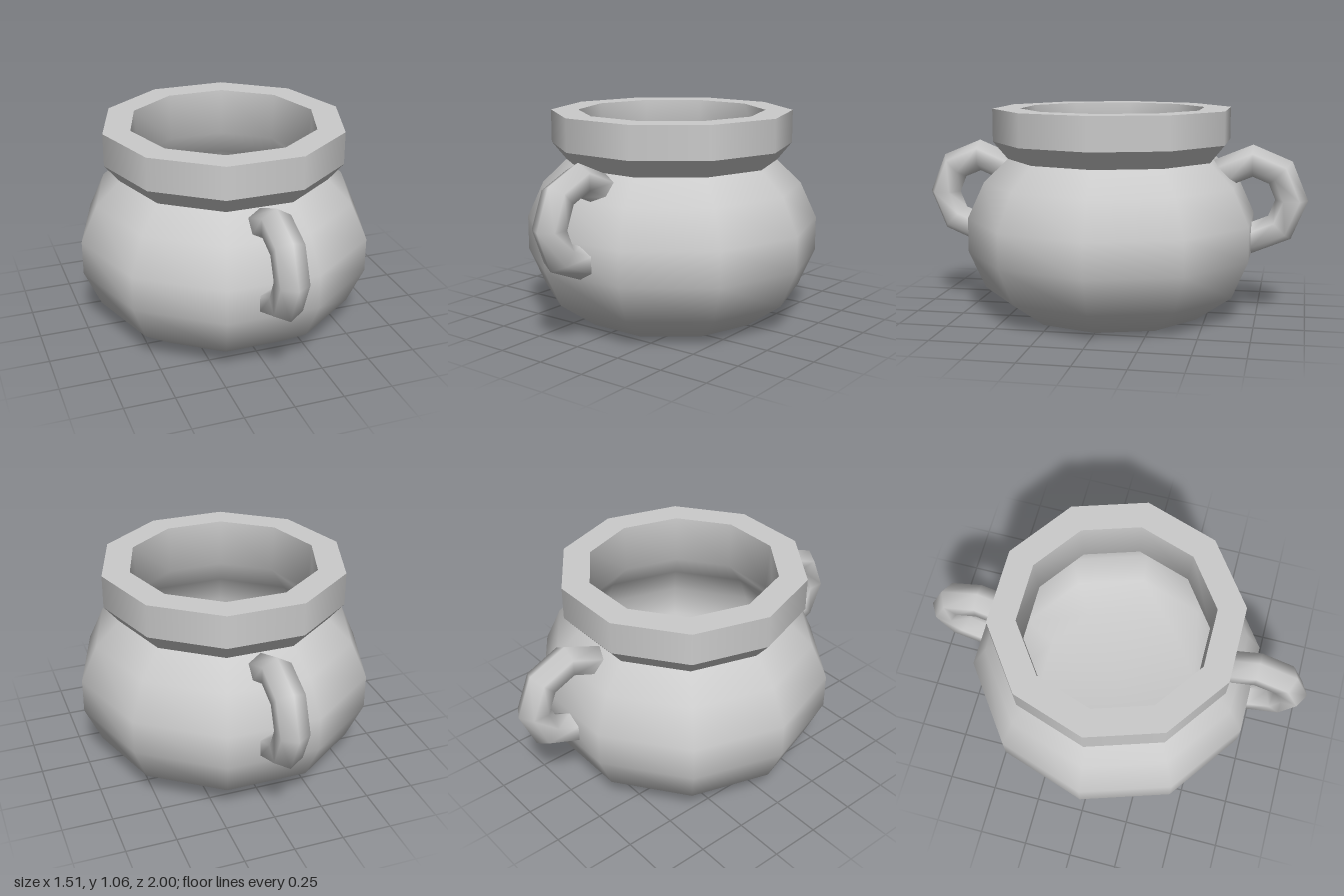
import * as THREE from 'three';

const SIDES = 10;

export function createModel() {
  const pot = new THREE.Group();
  pot.name = 'pot';
  const material = new THREE.MeshStandardMaterial({ color: 0xcccccc });
  const openMaterial = new THREE.MeshStandardMaterial({ color: 0xcccccc, side: THREE.DoubleSide });

  // Ten-sided turned part with a corner on the x axis, smooth along its profile
  function turned(name, profile) {
    const points = profile.map(([r, y]) => new THREE.Vector2(r, y));
    const mesh = new THREE.Mesh(new THREE.LatheGeometry(points, SIDES, Math.PI / 2), material);
    mesh.name = name;
    pot.add(mesh);
  }

  // Outer belly, closed underneath
  turned('body', [[0, 0], [0.48, 0], [0.67, 0.135], [0.755, 0.325], [0.755, 0.5], [0.67, 0.685], [0.545, 0.805]]);

  // Rim bands, kept separate so their edges stay sharp
  turned('rimUnderside', [[0.545, 0.805], [0.62, 0.895]]);
  turned('rimBand', [[0.62, 0.895], [0.62, 1.062]]);
  turned('rimTop', [[0.62, 1.062], [0.48, 1.062]]);

  // Inside wall and floor
  turned('interior', [[0.48, 1.062], [0.465, 0.82], [0.6, 0.66], [0.68, 0.5], [0.68, 0.335], [0.6, 0.17], [0.44, 0.06], [0, 0.06]]);

  // Handles: part of an eight-sided ring, front and back
  const ring = new THREE.TorusGeometry(0.198, 0.082, 6, 5, Math.PI * 1.25);
  ring.rotateZ(-Math.PI / 2).rotateY(-Math.PI / 2).translate(0, 0.605, 0.72);
  ['frontHandle', 'backHandle'].forEach((name, i) => {
    const handle = new THREE.Mesh(ring, openMaterial);
    handle.name = name;
    handle.rotation.y = i * Math.PI;
    pot.add(handle);
  });

  return pot;
}
